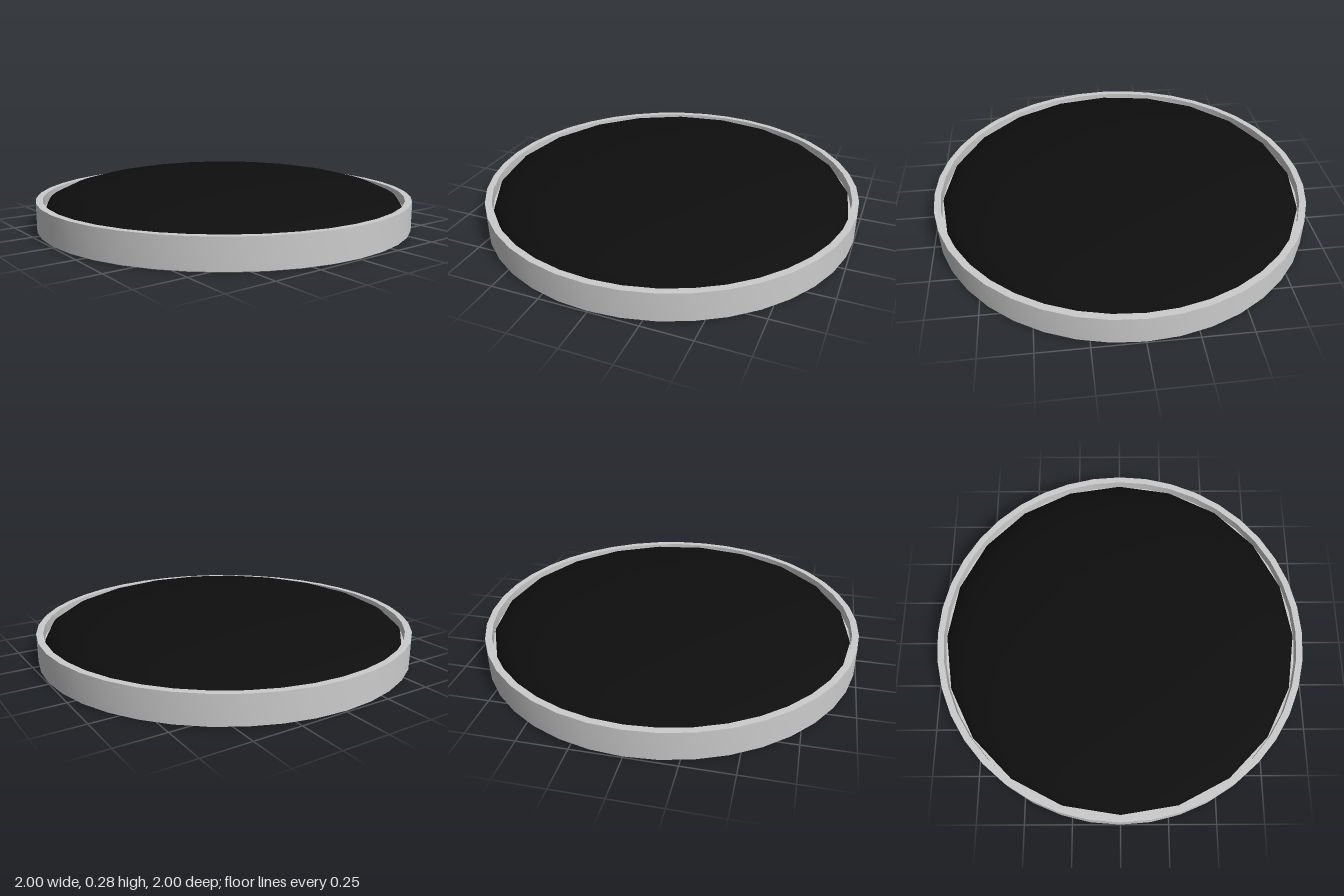
import * as THREE from 'three';
import { toCreasedNormals } from 'three/addons/utils/BufferGeometryUtils.js';

const RIM_HEIGHT = 0.155;
const DOME_RADIUS = 0.96;
const DOME_BASE = 0.105;
const DOME_RISE = 0.175;

function lathe(name, points, sides, color) {
  const profile = points.map(([r, y]) => new THREE.Vector2(r, y));
  const geometry = toCreasedNormals(new THREE.LatheGeometry(profile, sides), Math.PI / 6);
  const mesh = new THREE.Mesh(geometry, new THREE.MeshStandardMaterial({ color }));
  mesh.name = name;
  return mesh;
}

export function createModel() {
  const group = new THREE.Group();
  group.name = 'domedDisc';

  // Shallow round tray: flat underside, tiny bottom bevel, thin raised lip
  group.add(lathe('tray', [
    [0, 0], [0.988, 0], [1, 0.006], [1, RIM_HEIGHT],
    [0.965, RIM_HEIGHT], [0.965, 0.1], [0, 0.1],
  ], 40, 0xcccccc));

  // Flattened dark dome set inside the lip, with a twenty-sided outline
  const arc = [];
  const steps = 16;
  for (let i = 0; i <= steps; i++) {
    const a = (i / steps) * Math.PI / 2;
    arc.push([i === steps ? 0 : DOME_RADIUS * Math.cos(a), DOME_BASE + DOME_RISE * Math.sin(a)]);
  }
  group.add(lathe('dome', arc, 20, 0x0e0e0e));

  return group;
}
